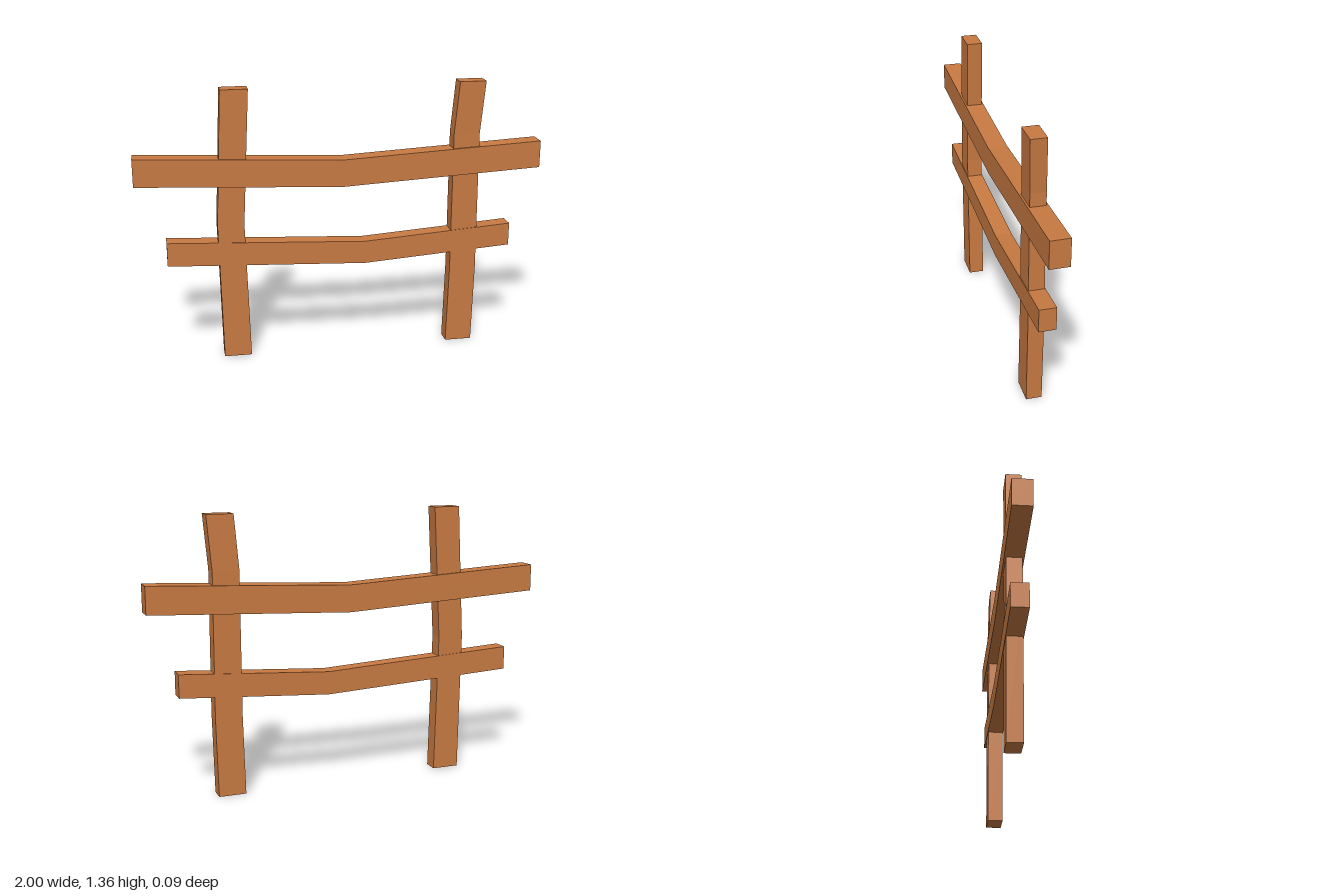
import * as THREE from 'three';

const wood = new THREE.MeshStandardMaterial({ color: 0xc87a42, flatShading: true });

// Bent square timber: a box with one segment per bend, each cross-section moved to its station.
// Rail stations: [x, yLow, yHigh, zBack, zFront]; post stations: [y, xLow, xHigh, zBack, zFront].
function beam(name, upright, stations) {
  const n = stations.length - 1;
  const geo = upright ? new THREE.BoxGeometry(1, n, 1, 1, n, 1) : new THREE.BoxGeometry(n, 1, 1, n, 1, 1);
  const p = geo.attributes.position;
  for (let i = 0; i < p.count; i++) {
    const along = upright ? p.getY(i) : p.getX(i);
    const across = upright ? p.getX(i) : p.getY(i);
    const [s, low, high, back, front] = stations[Math.round(along + n / 2)];
    const c = across < 0 ? low : high;
    const z = p.getZ(i) < 0 ? back : front;
    if (upright) p.setXYZ(i, c, s, z);
    else p.setXYZ(i, s, c, z);
  }
  geo.computeVertexNormals();
  const mesh = new THREE.Mesh(geo, wood);
  mesh.name = name;
  return mesh;
}

export function createModel() {
  const fence = new THREE.Group();
  fence.name = 'fence';

  // Sagging rails
  fence.add(beam('topRail', false, [
    [-1, 0.915, 1.05, -0.047, 0.047],
    [0, 0.865, 1.0, -0.047, 0.047],
    [1, 0.915, 1.05, -0.047, 0.047],
  ]));
  fence.add(beam('lowerRail', false, [
    [-0.86, 0.507, 0.625, -0.041, 0.041],
    [0.115, 0.46, 0.575, -0.041, 0.041],
    [0.86, 0.51, 0.625, -0.041, 0.041],
  ]));

  // Slightly crooked posts
  fence.add(beam('rightPost', true, [
    [0.005, -0.6, -0.465, -0.038, 0.038],
    [0.7, -0.613, -0.483, -0.038, 0.038],
    [1.362, -0.58, -0.448, -0.038, 0.038],
  ]));
  fence.add(beam('leftPost', true, [
    [0, 0.545, 0.68, -0.038, 0.038],
    [0.4, 0.555, 0.689, -0.038, 0.038],
    [1.1, 0.555, 0.685, -0.037, 0.038],
    [1.362, 0.575, 0.706, -0.03, 0.047],
  ]));
  return fence;
}
